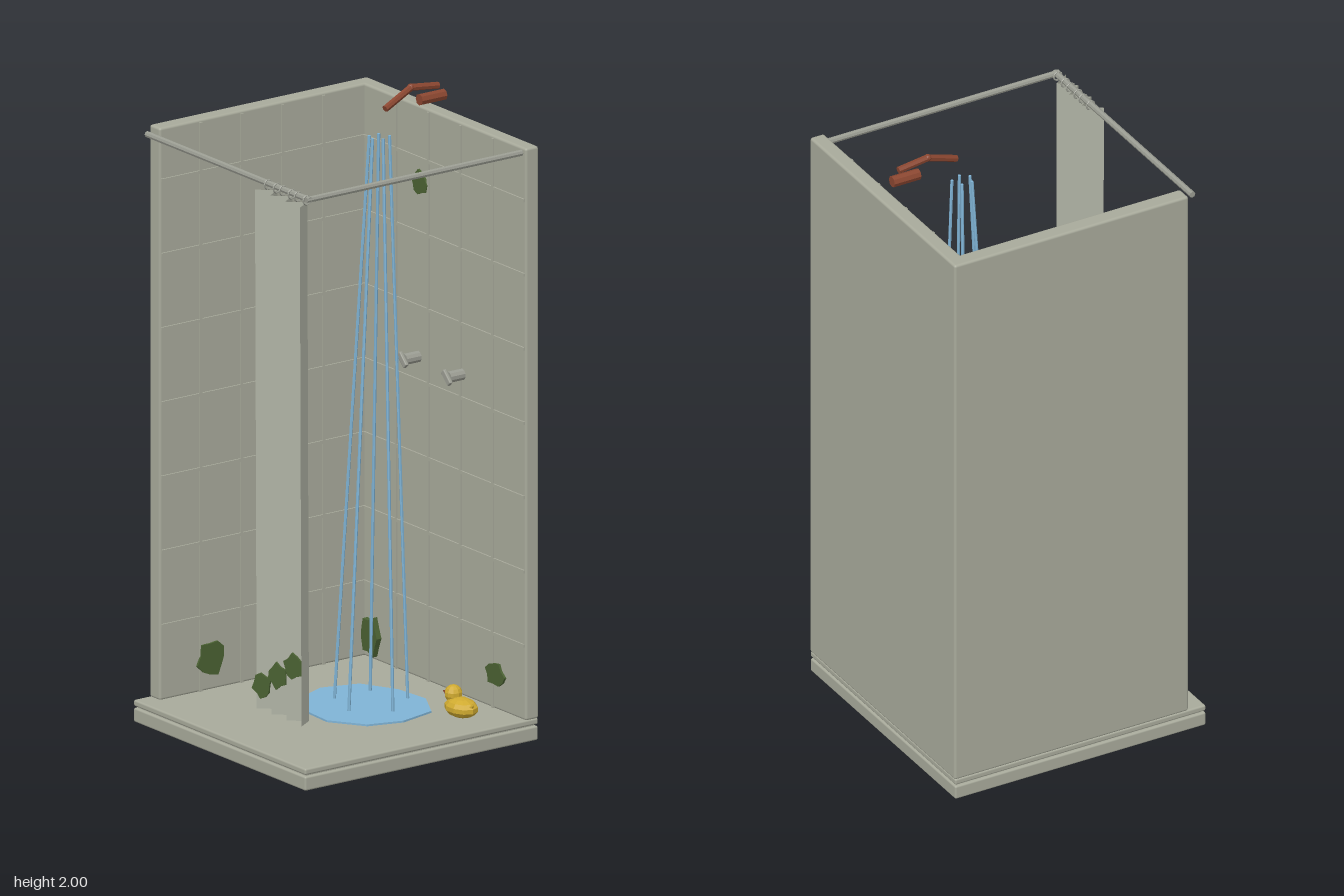
import * as THREE from 'three';
import { RoundedBoxGeometry } from 'three/addons/geometries/RoundedBoxGeometry.js';

const material = (name, color, extra = {}) => {
  const m = new THREE.MeshStandardMaterial({ color, ...extra });
  m.name = name;
  return m;
};

export function createModel() {
  const model = new THREE.Group();
  model.name = 'showerCabin';
  const flat = { flatShading: true };
  const tile = material('wall grey', 0xa8aa9b);
  const cloth = material('curtain grey', 0xaeb1a3, { side: THREE.DoubleSide, flatShading: true });
  const metal = material('metal grey', 0x9a9c92, flat);
  const rust = material('rust brown', 0x8a4630, flat);
  const water = material('water blue', 0x7fb3d5, flat);
  const moss = material('moss green', 0x4a6132, flat);
  const yellow = material('duck yellow', 0xcfaa30, flat);

  const add = (name, geometry, mat, x = 0, y = 0, z = 0, parent = model) => {
    const mesh = new THREE.Mesh(geometry, mat);
    mesh.name = name;
    mesh.position.set(x, y, z);
    parent.add(mesh);
    return mesh;
  };
  const box = (name, x0, x1, y0, y1, z0, z1, r = 0, mat = tile) => add(name,
    r ? new RoundedBoxGeometry(x1 - x0, y1 - y0, z1 - z0, 2, r)
      : new THREE.BoxGeometry(x1 - x0, y1 - y0, z1 - z0),
    mat, (x0 + x1) / 2, (y0 + y1) / 2, (z0 + z1) / 2);
  // Straight bar between two points
  const bar = (name, a, b, r, sides, mat) => {
    const p = new THREE.Vector3(...a), q = new THREE.Vector3(...b);
    const d = q.clone().sub(p);
    const mesh = add(name, new THREE.CylinderGeometry(r, r, d.length(), sides), mat,
      ...p.clone().add(q).multiplyScalar(0.5).toArray());
    mesh.quaternion.setFromUnitVectors(new THREE.Vector3(0, 1, 0), d.normalize());
    return mesh;
  };

  // Tray and walls
  box('trayBase', -0.445, 0.43, 0, 0.045, -0.445, 0.43, 0.006);
  box('trayGroove', -0.435, 0.42, 0.04, 0.055, -0.435, 0.42);
  box('trayTop', -0.445, 0.43, 0.05, 0.07, -0.445, 0.43, 0.006);
  box('backWall', -0.445, 0.43, 0.068, 1.88, -0.447, -0.398, 0.008);
  box('leftSideWall', -0.445, -0.392, 0.068, 1.88, -0.447, 0.37, 0.008);

  // Raised tile joints on the inner wall faces
  const t = 0.005, w = 0.005;
  for (let i = 1; i <= 7; i++) {
    const y = 0.07 + i * 0.235;
    box('backTileRow', -0.392, 0.425, y - w, y + w, -0.4, -0.398 + t);
    box('sideTileRow', -0.394, -0.392 + t, y - w, y + w, -0.398, 0.365);
  }
  for (let i = 1; i <= 4; i++) {
    const x = -0.392 + i * 0.164, z = -0.398 + i * 0.154;
    box('backTileColumn', x - w, x + w, 0.07, 1.872, -0.4, -0.398 + t);
    box('sideTileColumn', -0.394, -0.392 + t, 0.07, 1.872, z - w, z + w);
  }

  // Curtain rails
  bar('frontRail', [-0.415, 1.862, 0.4], [0.415, 1.862, 0.4], 0.01, 8, metal);
  bar('sideRail', [0.407, 1.862, -0.4], [0.407, 1.862, 0.41], 0.01, 8, metal);

  // Pleated curtain, leaning slightly outwards at the bottom
  const pos = [], index = [];
  for (let i = 0; i < 7; i++) {
    const x = 0.185 + Math.floor(i / 2) * 0.076 + (i % 2 ? 0.045 : 0);
    const z = i % 2 ? 0.387 : 0.438;
    pos.push(x, 1.845, z, x + 0.022, 0.21, z + 0.01);
    if (i < 6) index.push(2 * i, 2 * i + 1, 2 * i + 2, 2 * i + 1, 2 * i + 3, 2 * i + 2);
    if (i < 6) {
      const ring = add('curtainRing', new THREE.TorusGeometry(0.014, 0.003, 5, 10), metal, x + 0.015, 1.858, 0.4);
      ring.rotation.y = Math.PI / 2;
    }
  }
  const curtain = new THREE.BufferGeometry();
  curtain.setAttribute('position', new THREE.Float32BufferAttribute(pos, 3));
  curtain.setIndex(index);
  curtain.computeVertexNormals();
  add('curtain', curtain, cloth);

  // Ragged moss patches
  const patch = (x, y, z, sx, sy, turn, seed, depth = 0.007) => {
    const pts = [];
    for (let i = 0; i < 11; i++) {
      const a = i / 11 * Math.PI * 2, r = 0.9 + 0.15 * Math.sin(i * 2.6 + seed);
      pts.push(new THREE.Vector2(Math.cos(a) * r * sx, Math.sin(a) * r * sy));
    }
    const g = new THREE.ExtrudeGeometry(new THREE.Shape(pts), { depth, bevelEnabled: false });
    add('mossPatch', g, moss, x, y, z).rotation.y = turn;
  };
  patch(-0.105, 1.64, -0.397, 0.04, 0.042, 0, 1);
  patch(0.28, 0.18, -0.397, 0.05, 0.04, 0, 2);
  patch(-0.345, 0.145, -0.397, 0.045, 0.066, 0, 3, 0.018);
  patch(-0.39, 0.17, 0.18, 0.057, 0.06, Math.PI / 2, 4);
  for (let i = 0; i < 3; i++)
    patch(0.222 + i * 0.08, 0.285 + i * 0.05, 0.436, 0.036, 0.043, 0.35, 5 + i);

  // Rusty shower pipe
  const elbow = [0, 1.986, -0.285];
  bar('pipeBack', [-0.006, 1.973, -0.39], elbow.map((v, i) => i ? v : -0.005), 0.011, 7, rust);
  bar('pipeFront', [-0.005, 1.986, -0.288], [0.012, 1.942, -0.178], 0.011, 7, rust);
  add('pipeElbow', new THREE.IcosahedronGeometry(0.012, 1), rust, -0.005, 1.986, -0.287);
  bar('wallFitting', [-0.007, 1.94, -0.413], [-0.007, 1.94, -0.32], 0.018, 8, rust);

  // Taps
  for (const x of [-0.118, 0.106]) {
    bar('tapStem', [x, 1.085, -0.4], [x, 1.085, -0.345], 0.018, 10, metal);
    const handle = new THREE.Group();
    handle.name = 'tapHandle';
    handle.position.set(x, 1.085, -0.34);
    handle.rotation.z = -Math.PI / 4;
    add('handleBar', new RoundedBoxGeometry(0.05, 0.02, 0.012, 1, 0.003), metal, 0, 0, 0, handle);
    model.add(handle);
  }

  // Water jets: upper x, z and lower x, z
  const jets = [[-0.01, -0.17, -0.08, -0.19], [0.025, -0.185, 0.05, -0.235], [0.04, -0.15, 0.13, -0.12],
    [0.02, -0.125, 0.048, -0.015], [-0.01, -0.135, -0.08, -0.055]];
  for (const [x0, z0, x1, z1] of jets)
    bar('waterJet', [x0, 1.86, z0], [x1, 0.07, z1], 0.005, 6, water);

  // Puddle with an uneven rim
  const rim = [[-0.155, -0.205], [-0.04, -0.265], [0.085, -0.277], [0.197, -0.215], [0.226, -0.09],
    [0.192, 0.022], [0.085, 0.095], [-0.04, 0.088], [-0.145, 0.025], [-0.192, -0.085]];
  const pool = new THREE.ExtrudeGeometry(
    new THREE.Shape(rim.map(([x, z]) => new THREE.Vector2(x, -z))), { depth: 0.007, bevelEnabled: false });
  add('puddle', pool, water, 0, 0.069, 0).rotation.x = -Math.PI / 2;

  // Toy duck
  const duck = new THREE.Group();
  duck.name = 'toyDuck';
  duck.position.set(0.272, 0.07, -0.272);
  model.add(duck);
  add('body', new THREE.SphereGeometry(1, 10, 7), yellow, 0, 0.026, 0, duck).scale.set(0.062, 0.031, 0.046);
  add('head', new THREE.SphereGeometry(0.028, 10, 7), yellow, -0.04, 0.06, 0, duck);
  const tail = add('tail', new THREE.ConeGeometry(0.018, 0.04, 6), yellow, 0.048, 0.036, 0, duck);
  tail.rotation.z = -0.9;
  const beak = add('beak', new THREE.ConeGeometry(0.016, 0.034, 6), rust, -0.077, 0.056, 0, duck);
  beak.rotation.z = Math.PI / 2;

  return model;
}
